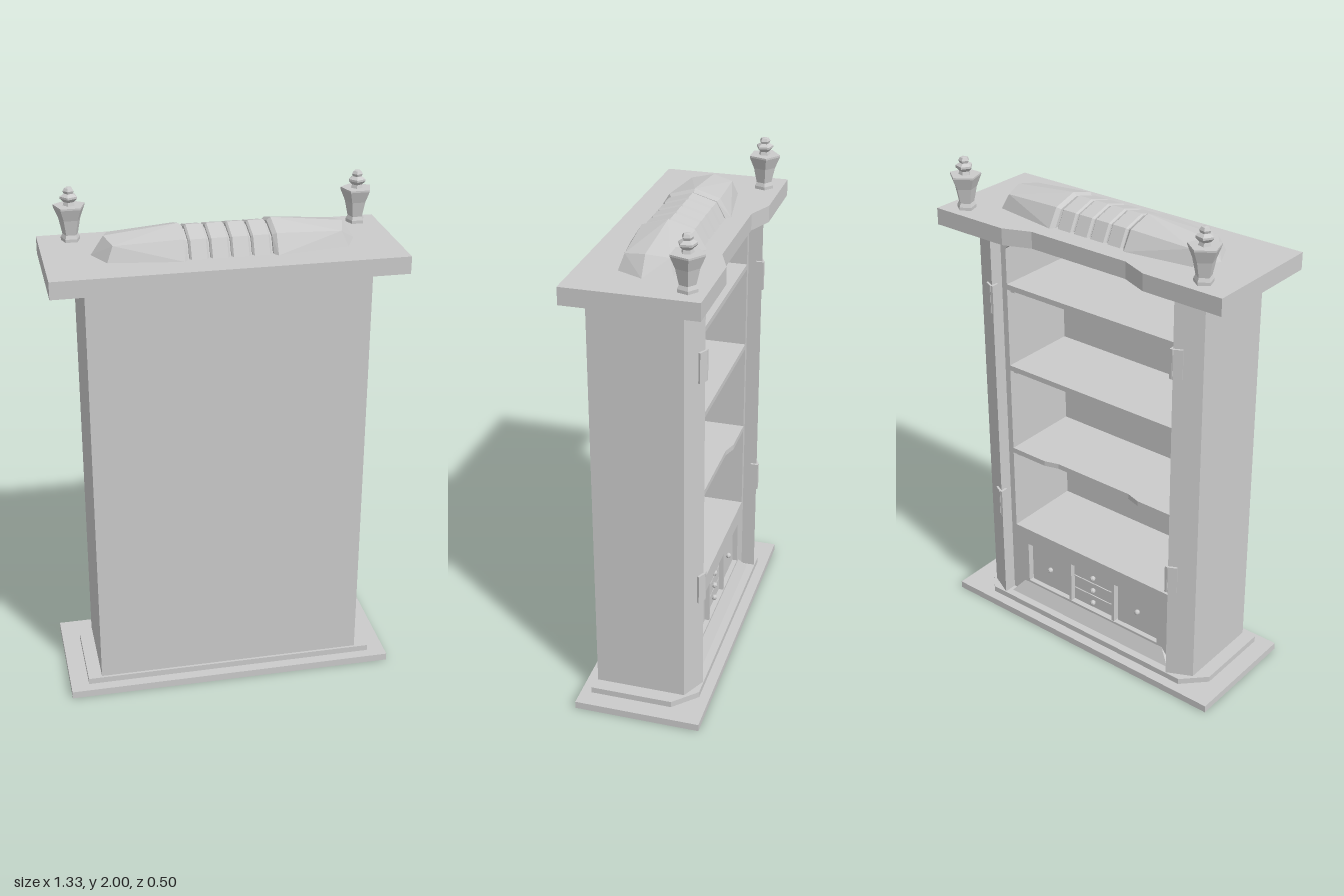
import * as THREE from 'three';
import { ConvexGeometry } from 'three/addons/geometries/ConvexGeometry.js';

const mat = new THREE.MeshStandardMaterial({ color: 0xcccccc, flatShading: true });

export function createModel() {
  const root = new THREE.Group();

  const add = (name, geo, x = 0, y = 0, z = 0) => {
    const m = new THREE.Mesh(geo, mat);
    m.name = name;
    m.position.set(x, y, z);
    root.add(m);
    return m;
  };
  // box given by its limits
  const box = (name, x0, x1, y0, y1, z0, z1) =>
    add(name, new THREE.BoxGeometry(x1 - x0, y1 - y0, z1 - z0), (x0 + x1) / 2, (y0 + y1) / 2, (z0 + z1) / 2);
  // plan outline of [x, z] points, raised from y0 to y1; half outlines are mirrored in x
  const slab = (name, half, y0, y1) => {
    const pts = [...half, ...half.map(([x, z]) => [-x, z]).reverse()];
    const geo = new THREE.ExtrudeGeometry(new THREE.Shape(pts.map(p => new THREE.Vector2(...p))),
      { depth: y1 - y0, bevelEnabled: false });
    geo.rotateX(Math.PI / 2);
    return add(name, geo, 0, y1, 0);
  };

  // plinth and cornice
  box('plinth', -0.663, 0.663, 0, 0.03, -0.252, 0.252);
  slab('plinthStep', [[0.59, 0.21], [0.59, -0.12], [0.5, -0.21]], 0.03, 0.055);
  slab('cornice', [[0.663, 0.252], [0.663, -0.252], [0.33, -0.252], [0.22, -0.208]], 1.728, 1.795);

  // closed panel, side walls and slanted pilasters in one open-backed plan
  slab('carcass', [[0.535, 0.2], [0.535, -0.158], [0.435, -0.207], [0.435, -0.15], [0.41, -0.15], [0.41, 0.187]], 0.055, 1.728);
  box('lintel', -0.41, 0.41, 1.7, 1.728, -0.15, 0.187);

  // shelves; the second has a recessed front edge
  [0.39, 0.77, 1.155, 1.51].forEach((y, i) => {
    const dip = i === 1 ? -0.132 : -0.15;
    slab('shelf', [[0.41, 0.187], [0.41, -0.15], [0.24, -0.15], [0.18, dip]], y - 0.022, y);
    if (i > 0) for (const s of [-1, 1]) {
      const cleat = box('shelfCleat', 0.39, 0.41, y - 0.04, y - 0.022, -0.13, 0.187);
      cleat.position.x *= s;
    }
  });

  for (const s of [-1, 1]) {
    // slanting corner pieces at the top of the opening
    const tri = new THREE.Shape([[0.41, 1.7], [0.375, 1.7], [0.41, 1.66]].map(([x, y]) => new THREE.Vector2(x * s, y)));
    add('cornerBracket', new THREE.ExtrudeGeometry(tri, { depth: 0.02, bevelEnabled: false }), 0, 0, -0.15);

    // hinges: a leaf on the slanted pilaster face and one round its inner edge
    for (const y of [0.52, 1.46]) {
      const leaf = add('hingeLeaf', new THREE.BoxGeometry(0.04, 0.12, 0.012), s * 0.452, y, -0.202);
      leaf.rotation.y = -s * Math.atan2(0.05, 0.1);
      box('hingeKnuckle', s * 0.433 - 0.008, s * 0.433 + 0.008, y - 0.06, y + 0.06, -0.215, -0.182);
    }
  }

  // drawer front frame with recessed opening
  const frame = new THREE.Shape([[-0.41, 0.055], [0.41, 0.055], [0.41, 0.37], [-0.41, 0.37]].map(p => new THREE.Vector2(...p)));
  frame.holes.push(new THREE.Path([[-0.345, 0.125], [-0.345, 0.315], [0.345, 0.315], [0.345, 0.125]].map(p => new THREE.Vector2(...p))));
  add('drawerFrame', new THREE.ExtrudeGeometry(frame, { depth: 0.04, bevelEnabled: false }), 0, 0, -0.15);
  box('drawerBacking', -0.41, 0.41, 0.055, 0.37, -0.112, -0.1);
  for (const x of [-0.115, 0.115]) box('drawerDivider', x - 0.006, x + 0.006, 0.125, 0.315, -0.148, -0.11);

  // drawers and their knobs
  const drawer = (x, y, w, h) => {
    box('drawer', x - w / 2, x + w / 2, y - h / 2, y + h / 2, -0.13, -0.11);
    add('knob', new THREE.SphereGeometry(0.012, 8, 6), x, y, -0.138);
  };
  for (const x of [-0.234, 0.234]) drawer(x, 0.22, 0.21, 0.186);
  for (let i = 0; i < 3; i++) drawer(0, 0.158 + i * 0.062, 0.21, 0.057);

  // sloping sill below the drawers, mitred at both ends
  const sill = [];
  for (const s of [-1, 1]) sill.push([s * 0.42, 0.055, -0.15], [s * 0.42, 0.055, -0.178], [s * 0.37, 0.115, -0.15]);
  add('sill', new ConvexGeometry(sill.map(p => new THREE.Vector3(...p))));

  // faceted crest: two tapering lobes and four ribs over a core
  const cx = 0.015, y0 = 1.795;
  const hull = (name, pts) => add(name, new ConvexGeometry(
    pts.flatMap(([x, y, z]) => (z ? [1, -1] : [1]).map(s => new THREE.Vector3(x, y, z * s)))), cx);
  for (const s of [-1, 1]) {
    hull('crestLobe', [
      [0.5, y0, 0], [0.452, y0, 0.1], [0.175, y0, 0.143],
      [0.452, 1.866, 0], [0.428, 1.852, 0.082], [0.175, 1.866, 0.1], [0.175, 1.896, 0],
      [0.16, y0, 0.125], [0.16, 1.858, 0.09], [0.16, 1.884, 0],
    ].map(([x, y, z]) => [x * s, y, z]));
  }
  for (let i = 0; i < 4; i++) {
    const x = (i - 1.5) * 0.078;
    const rib = [];
    for (const [dx, k] of [[-0.036, 0.93], [-0.029, 1], [0.029, 1], [0.036, 0.93]])
      for (const [h, z] of [[0, 0.127], [0.066, 0.093], [0.094, 0]])
        rib.push([x + dx, y0 + h * k, z * k]);
    hull('crestRib', rib);
  }
  hull('crestCore', [-0.16, 0.16].flatMap(x => [[x, y0, 0.108], [x, 1.848, 0.08], [x, 1.872, 0]]));

  // five-sided finials: a flared cup with a flat top and a small knob
  const lathe = profile => new THREE.LatheGeometry(profile.map(p => new THREE.Vector2(...p)), 5, Math.PI);
  const cup = [[0, 0], [0.038, 0], [0.038, 0.012], [0.031, 0.026], [0.044, 0.085], [0.063, 0.13], [0.063, 0.137], [0, 0.137]];
  const knob = [[0.024, 0.137], [0.02, 0.15], [0.034, 0.164], [0.034, 0.172], [0.018, 0.182], [0.022, 0.192], [0.015, 0.203], [0, 0.205]];
  for (const x of [-0.538, 0.575]) {
    add('finialCup', lathe(cup), x, y0, -0.181);
    add('finialKnob', lathe(knob), x, y0, -0.181).rotation.y = 0.4;
  }

  return root;
}
